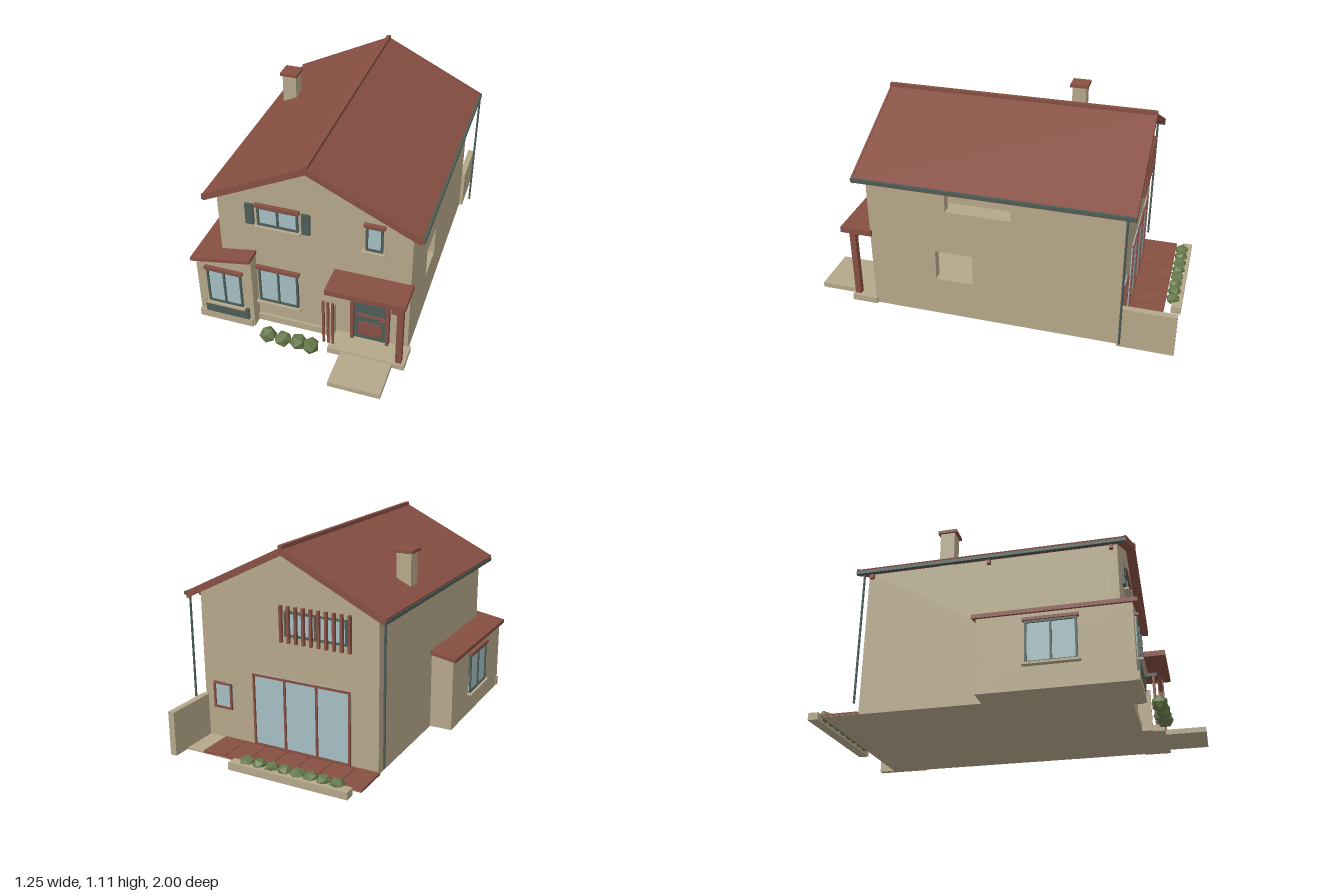
import * as THREE from 'three';

const mat = (name, color) => Object.assign(new THREE.MeshStandardMaterial({ color }), { name });

export function createModel() {
  const house = new THREE.Group();
  house.name = 'house';
  const wall = mat('sand render', 0xb5a88a);
  const red = mat('brick red', 0x874f42);
  const dark = mat('dark green frame', 0x4d5c56);
  const glass = mat('pale glass', 0xa4bec3);
  const leaf = mat('shrub green', 0x66784a);
  leaf.flatShading = true;

  const add = (name, geo, m, parent = house) => {
    const mesh = new THREE.Mesh(geo, m);
    mesh.name = name;
    parent.add(mesh);
    return mesh;
  };
  // Box given by its limits on each axis
  const box = (name, m, x0, x1, y0, y1, z0, z1, parent = house) => {
    const mesh = add(name, new THREE.BoxGeometry(x1 - x0, y1 - y0, z1 - z0), m, parent);
    mesh.position.set((x0 + x1) / 2, (y0 + y1) / 2, (z0 + z1) / 2);
    return mesh;
  };
  const path = (pts, C = THREE.Shape) => new C(pts.map(p => new THREE.Vector2(...p)));
  const rect = (a, b, c, d) => [[a, c], [b, c], [b, d], [a, d]];
  // Profile in x and y, pushed from z0 to z1
  const prism = (name, m, pts, z0, z1) => {
    const geo = new THREE.ExtrudeGeometry(path(pts), { depth: z1 - z0, bevelEnabled: false });
    add(name, geo.translate(0, 0, z0), m);
  };
  // Side wall drawn in z and y, with openings
  const sideWall = (name, xOuter, t, outline, holes) => {
    const shape = path(outline);
    shape.holes = holes.map(h => path(h, THREE.Path));
    const geo = new THREE.ExtrudeGeometry(shape, { depth: t, bevelEnabled: false });
    add(name, geo.rotateY(-Math.PI / 2).translate(xOuter, 0, 0), wall);
  };
  const facade = (name, x, z, angle) => {
    const g = new THREE.Group();
    g.name = name;
    g.position.set(x, 0, z);
    g.rotation.y = angle;
    house.add(g);
    return g;
  };
  // Framed window on a facade whose outside is local +z
  const windowUnit = (parent, name, x0, x1, y0, y1, panes, trim = true, m = dark, back = 0) => {
    const g = new THREE.Group();
    g.name = name;
    parent.add(g);
    const f = 0.011, d = 0.014;
    box('glass', glass, x0, x1, y0, y1, -back, 0.006, g);
    box('frameBottom', m, x0, x1, y0, y0 + f, 0, d, g);
    box('frameTop', m, x0, x1, y1 - f, y1, 0, d, g);
    for (let i = 0; i <= panes; i++) {
      const x = x0 + f / 2 + (x1 - x0 - f) * i / panes;
      box('frameUpright', m, x - f / 2, x + f / 2, y0, y1, 0, d, g);
    }
    if (trim) {
      box('lintel', red, x0 - 0.01, x1 + 0.01, y1, y1 + 0.016, 0, 0.022, g);
      box('sill', wall, x0 - 0.014, x1 + 0.014, y0 - 0.011, y0, 0, 0.03, g);
    }
  };

  // Main walls
  const gable = [[-0.475, 0.01], [0.55, 0.01], [0.55, 0.81], [0.025, 1.075], [-0.475, 0.82]];
  prism('frontWall', wall, gable, 0.61, 0.65);
  prism('backWall', wall, gable, -0.71, -0.67);
  sideWall('rightWall', 0.55, 0.05, rect(-0.68, 0.62, 0.01, 0.81),
    [rect(-0.13, 0.22, 0.66, 0.797), rect(0.08, 0.285, 0.235, 0.41)]);
  sideWall('leftWall', -0.435, 0.04, rect(-0.68, 0.62, 0.01, 0.82), [rect(-0.03, 0.6, 0.03, 0.42)]);
  box('floor', wall, -0.475, 0.55, 0.01, 0.025, -0.71, 0.65);

  // Main roof, verge boards and ridge
  prism('roof', red, [[-0.525, 0.8], [0.025, 1.07], [0.6, 0.788], [0.607, 0.815], [0.025, 1.1], [-0.532, 0.828]].reverse(), -0.755, 0.695);
  for (const z of [-0.763, 0.693])
    prism('vergeBoard', red, [[-0.523, 0.796], [0.025, 1.065], [0.598, 0.784], [0.609, 0.818], [0.025, 1.104], [-0.534, 0.831]].reverse(), z, z + 0.01);
  box('ridgeCap', red, 0.014, 0.036, 1.085, 1.115, -0.765, 0.705);

  // Gutters, downpipes and eave brackets
  for (const [xg, xp, xb] of [[0.605, 0.61, 0.56], [-0.525, -0.511, -0.485]]) {
    box('gutter', dark, xg - 0.01, xg + 0.01, 0.8, 0.818, -0.762, 0.702);
    add('downpipe', new THREE.CylinderGeometry(0.006, 0.006, 0.75, 10), dark).position.set(xp, 0.435, -0.722);
    for (const z of [0.62, -0.03, -0.69])
      box('eaveBracket', red, xb - 0.01, xb + 0.01, 0.79, 0.825, z - 0.01, z + 0.01);
  }

  // Chimney
  box('chimney', wall, -0.455, -0.375, 0.82, 1.037, -0.315, -0.235);
  box('chimneyCap', red, -0.466, -0.364, 1.035, 1.052, -0.327, -0.223);

  // Side wing
  const slope = x1 => [[-0.6, 0.01], [x1, 0.01], [x1, 0.41 + (x1 + 0.6) * 0.18], [-0.6, 0.412]];
  prism('wingFront', wall, slope(-0.285), 0.645, 0.72);
  prism('wingBack', wall, slope(-0.47), -0.06, -0.03);
  box('wingSide', wall, -0.6, -0.575, 0.01, 0.415, -0.06, 0.72);
  box('wingFloor', wall, -0.6, -0.47, 0.01, 0.025, -0.06, 0.72);
  prism('wingRoof', red, [[-0.62, 0.408], [-0.28, 0.47], [-0.28, 0.491], [-0.62, 0.43]], -0.08, 0.745);
  box('wingPlinth', wall, -0.604, -0.295, 0.01, 0.057, 0.7, 0.732);
  box('plinth', wall, -0.285, 0.15, 0.01, 0.052, 0.64, 0.665);

  // Front windows
  const front = facade('frontWindows', 0, 0.65, 0);
  windowUnit(front, 'upperWideWindow', -0.256, -0.036, 0.676, 0.79, 2);
  windowUnit(front, 'upperSmallWindow', 0.314, 0.402, 0.655, 0.802, 1);
  windowUnit(front, 'lowerWindow', -0.272, -0.05, 0.158, 0.382, 2);
  for (const x of [-0.32, -0.018]) box('shutter', dark, x, x + 0.044, 0.672, 0.795, 0, 0.014, front);
  const wing = facade('wingWindows', 0, 0.72, 0);
  windowUnit(wing, 'wingWindow', -0.54, -0.342, 0.142, 0.366, 2);
  box('windowPanel', dark, -0.563, -0.312, 0.06, 0.131, 0, 0.014, wing);
  const left = facade('wingSideWindows', -0.6, 0, -Math.PI / 2);
  windowUnit(left, 'wingSideWindow', 0.19, 0.45, 0.142, 0.366, 2, true, dark, 0.03);

  // Front door
  const door = facade('frontDoor', 0, 0.65, 0);
  for (const x of [0.243, 0.434]) box('doorPost', red, x, x + 0.017, 0.045, 0.422, 0, 0.03, door);
  box('doorFrame', dark, 0.26, 0.434, 0.045, 0.412, 0, 0.012, door);
  box('doorGlass', glass, 0.265, 0.43, 0.312, 0.4, 0.012, 0.016, door);
  box('doorRail', red, 0.272, 0.425, 0.213, 0.223, 0.012, 0.024, door);
  box('doorPanel', red, 0.284, 0.41, 0.078, 0.166, 0.012, 0.018, door);
  box('doorHandle', red, 0.4, 0.43, 0.204, 0.212, 0.012, 0.03, door);
  box('letterBox', red, 0.459, 0.492, 0.274, 0.298, 0, 0.02, door);
  box('lamp', dark, 0.384, 0.436, 0.426, 0.446, 0.05, 0.1, door);

  // Porch
  box('porchFloor', wall, 0.15, 0.565, 0.01, 0.046, 0.64, 0.785);
  box('step', wall, 0.222, 0.5, 0.01, 0.038, 0.73, 1);
  box('porchRoof', red, 0.15, 0.565, 0.45, 0.481, 0.64, 0.817);
  box('porchPost', red, 0.515, 0.547, 0.045, 0.452, 0.743, 0.776);
  prism('porchBrace', red, [[0.44, 0.452], [0.518, 0.37], [0.518, 0.39], [0.46, 0.452]], 0.75, 0.77);
  box('porchSideWall', wall, 0.132, 0.155, 0.01, 0.243, 0.65, 0.722);
  for (const x of [0.118, 0.143, 0.168]) box('porchPole', red, x - 0.006, x + 0.006, 0.046, 0.33, 0.739, 0.751);

  // Back windows
  const back = facade('backWindows', 0, -0.71, Math.PI);
  windowUnit(back, 'patioDoor', -0.24, 0.325, 0.025, 0.42, 3, false, red);
  windowUnit(back, 'backSmallWindow', -0.49, -0.376, 0.19, 0.335, 1, false, red);
  windowUnit(back, 'backUpperWindow', -0.04, 0.31, 0.65, 0.78, 2, false, dark);
  for (let i = 0; i < 10; i++) {
    const x = -0.06 + i * 0.0425;
    box('slat', red, x, x + 0.014, 0.62, 0.81, 0.014, 0.03, back);
  }

  // Patio with tiles, garden wall and planter
  box('patio', wall, -0.48, 0.545, 0.01, 0.018, -0.908, -0.7);
  for (let i = 0; i < 7; i++) {
    const x = -0.485 + i * 0.1315;
    box('patioTile', red, x + 0.002, x + 0.1295, 0.012, 0.024, -0.908, -0.71);
  }
  box('gardenWall', wall, 0.535, 0.57, 0.012, 0.25, -1, -0.705);
  box('planter', wall, -0.455, 0.212, 0.01, 0.05, -1, -0.945);

  // Shrubs
  const shrub = (x, y, z, sx, sy, sz, turn) => {
    const s = add('shrub', new THREE.IcosahedronGeometry(1, 0), leaf);
    s.position.set(x, y, z);
    s.scale.set(sx, sy, sz);
    s.rotation.y = turn;
  };
  [-0.182, -0.095, -0.01, 0.063].forEach((x, i) =>
    shrub(x, 0.041, 0.787 + (i % 2) * 0.006, 0.05, 0.047, 0.045, i * 0.5));
  for (let i = 0; i < 8; i++) shrub(-0.375 + i * 0.0725, 0.05, -0.947, 0.04, 0.034, 0.042, i * 0.7);
  return house;
}
